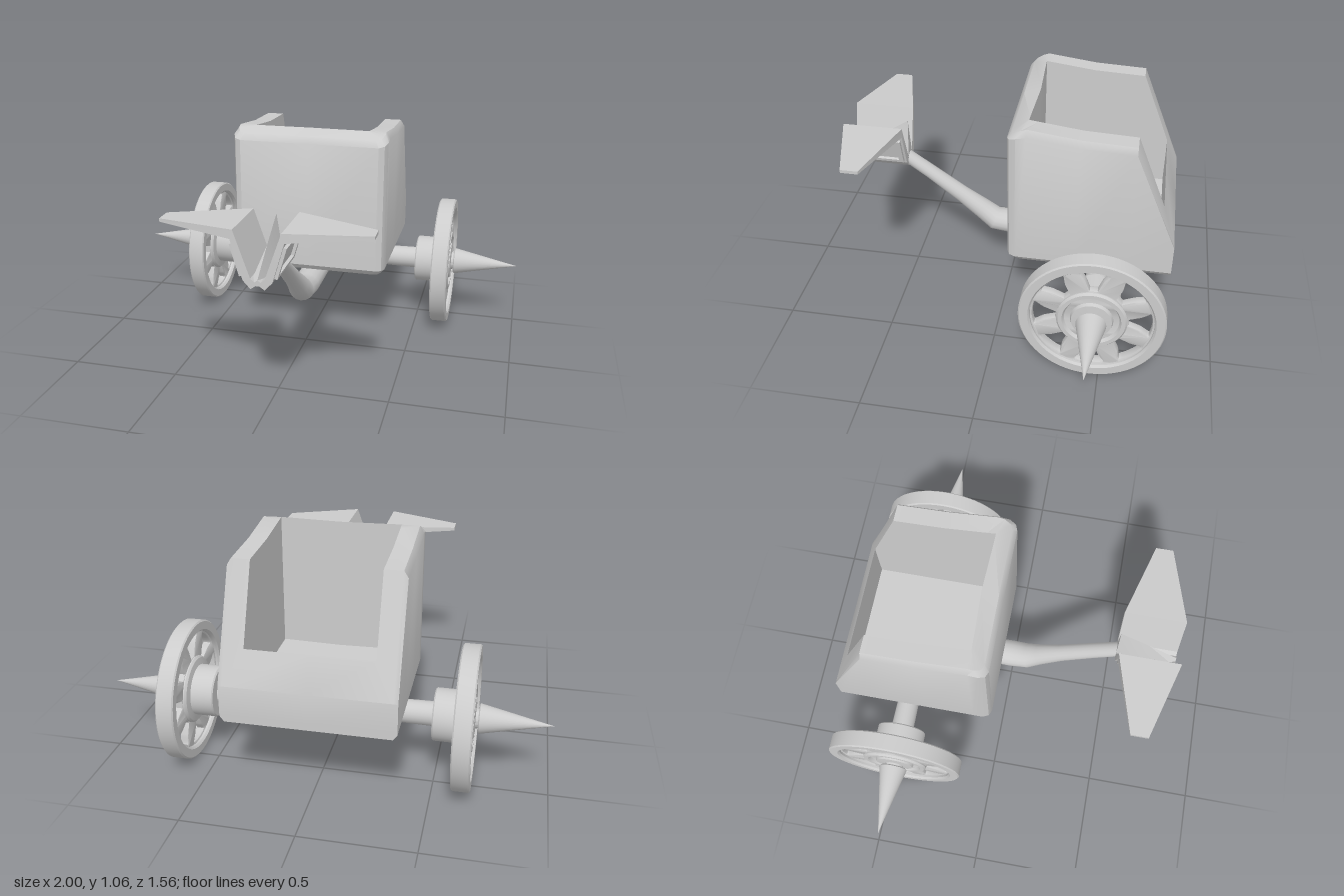
import * as THREE from 'three';
import { toCreasedNormals } from 'three/addons/utils/BufferGeometryUtils.js';

const material = new THREE.MeshStandardMaterial({ color: 0xcccccc });

function part(name, geometry, crease = 0.6) {
  const mesh = new THREE.Mesh(toCreasedNormals(geometry, crease), material);
  mesh.name = name;
  return mesh;
}

// Skin over equal-length rings of [x, y, z], closed at both ends.
function loft(rings) {
  const n = rings[0].length, last = (rings.length - 1) * n, index = [];
  for (let j = 0; j < rings.length - 1; j++) {
    for (let i = 0; i < n; i++) {
      const k = (i + 1) % n, a = j * n + i, b = j * n + k;
      index.push(a, b, b + n, a, b + n, a + n);
    }
  }
  for (let i = 1; i < n - 1; i++) {
    index.push(0, i + 1, i, last, last + i, last + i + 1);
  }
  const g = new THREE.BufferGeometry();
  g.setAttribute('position', new THREE.Float32BufferAttribute(rings.flat(2), 3));
  g.setIndex(index);
  g.computeVertexNormals();
  return g;
}

// Turned part along x from [radius, x] pairs.
function turned(profile, segments = 48) {
  const points = profile.map(([r, x]) => new THREE.Vector2(r, x));
  return new THREE.LatheGeometry(points, segments).rotateZ(-Math.PI / 2);
}

// Height of the car's rim at depth z: curved top, then a straight slope to the back.
function rimHeight(z) {
  const stops = [[-0.78, 0.53], [-0.585, 1.02], [-0.35, 1.03], [-0.11, 1.06], [-0.06, 1.045], [-0.035, 1.03]];
  for (let i = 1; i < stops.length; i++) {
    const [z0, y0] = stops[i - 1], [z1, y1] = stops[i];
    if (z <= z1) return y0 + (y1 - y0) * (z - z0) / (z1 - z0);
  }
  return 1.03;
}

// Car: open box with thick walls, a cut-back rear and a sunken floor.
function createCar() {
  const outer = [[0, -0.035], [0.335, -0.035], [0.362, -0.046], [0.375, -0.075], [0.375, -0.12],
    [0.375, -0.35], [0.375, -0.585], [0.375, -0.78], [0, -0.78]];
  const inner = [[0, -0.13], [0.25, -0.12], [0.265, -0.12], [0.275, -0.12], [0.275, -0.16],
    [0.275, -0.35], [0.275, -0.585], [0.275, -0.72], [0, -0.72]];
  const ring = (half, height, sx = 1, dz = 0) => {
    const right = half.map(([x, z]) => [x * sx, height(z), z > -0.1 ? z - dz : z]);
    const left = right.slice(1, -1).reverse().map(([x, y, z]) => [-x, y, z]);
    return [...right, ...left];
  };
  return part('car', loft([
    ring(outer, () => 0.365, 0.95, 0.018),
    ring(outer, () => 0.39),
    ring(outer, z => rimHeight(z) - (z > -0.7 ? 0.03 : 0)),
    ring(outer, rimHeight, 0.95, 0.02),
    ring(inner, rimHeight),
    ring(inner, () => 0.45)
  ]));
}

// Draught pole: oval sections running under the car, then bending up to the yoke.
function createPole() {
  const sections = [ // z, y, half width, half height, tilt
    [-0.5, 0.305, 0.06, 0.055, 0], [0, 0.305, 0.066, 0.056, 0], [0.085, 0.312, 0.062, 0.055, 0.38],
    [0.15, 0.365, 0.05, 0.05, 0.7], [0.25, 0.44, 0.04, 0.04, 0.7], [0.4, 0.553, 0.037, 0.032, 0.7],
    [0.53, 0.645, 0.035, 0.03, 0.6]
  ];
  return part('pole', loft(sections.map(([z, y, w, h, tilt]) =>
    Array.from({ length: 16 }, (_, i) => {
      const a = i / 16 * Math.PI * 2, s = Math.sin(a) * h;
      return [Math.cos(a) * w, y + s * Math.cos(tilt), z - s * Math.sin(tilt)];
    }))), 0.8);
}

// Yoke: V-shaped walls spreading into two tapered wings, with a sloping centre rib.
function createYoke() {
  const yoke = new THREE.Group();
  yoke.name = 'yoke';
  const section = ([ox, oy], [ix, iy], z0, z1) => [[ox, oy, z0], [ix, iy, z0], [ix, iy, z1], [ox, oy, z1]];
  const wing = loft([
    section([0.03, 0.6], [0, 0.62], 0.5, 0.78),
    section([0.062, 0.635], [0.03, 0.645], 0.5, 0.78),
    section([0.112, 0.805], [0.1, 0.845], 0.5, 0.78),
    section([0.45, 0.815], [0.45, 0.83], 0.6, 0.68)
  ]);
  // Raised rectangular frame on the outer face of each wall
  const border = new THREE.Shape([[-0.13, -0.07], [0.13, -0.07], [0.13, 0.07], [-0.13, 0.07]]
    .map(p => new THREE.Vector2(...p)));
  border.holes.push(new THREE.Path([[-0.108, -0.055], [-0.108, 0.055], [0.108, 0.055], [0.108, -0.055]]
    .map(p => new THREE.Vector2(...p))));
  const frame = new THREE.ExtrudeGeometry(border, { depth: 0.014, bevelEnabled: false })
    .rotateY(Math.PI / 2).rotateZ(-0.286).translate(0.086, 0.717, 0.64);
  for (const side of [1, -1]) {
    const half = new THREE.Group();
    half.name = side > 0 ? 'leftWing' : 'rightWing';
    half.add(part('wing', wing, 0.3), part('wingFrame', frame, 0.3));
    half.scale.x = side;
    yoke.add(half);
  }
  const rib = (z, top) => [[-0.034, 0.615, z], [0.034, 0.615, z], [0, top, z]];
  yoke.add(part('centreRib', loft([rib(0.5, 0.83), rib(0.64, 0.74), rib(0.78, 0.64)]), 0.3));
  return yoke;
}

// Spoked web: a disc pierced by eight rounded openings.
function createSpokes() {
  const disc = new THREE.Shape().absarc(0, 0, 0.285, 0, Math.PI * 2);
  for (let i = 0; i < 8; i++) {
    const turn = i * Math.PI / 4;
    const at = (r, w) => [r * Math.cos(turn) - w * Math.sin(turn), r * Math.sin(turn) + w * Math.cos(turn)];
    const hole = new THREE.Path();
    hole.moveTo(...at(0.15, -0.022));
    hole.lineTo(...at(0.15, 0.022));
    hole.lineTo(...at(0.205, 0.043));
    hole.bezierCurveTo(...at(0.235, 0.06), ...at(0.25, 0.085), ...at(0.258, 0.06));
    hole.quadraticCurveTo(...at(0.274, 0), ...at(0.258, -0.06));
    hole.bezierCurveTo(...at(0.25, -0.085), ...at(0.235, -0.06), ...at(0.205, -0.043));
    hole.closePath();
    disc.holes.push(hole);
  }
  return new THREE.ExtrudeGeometry(disc, {
    depth: 0.02, bevelThickness: 0.01, bevelSize: 0.008, bevelSegments: 2, curveSegments: 12
  }).rotateY(Math.PI / 2).translate(0.62, 0, 0);
}

export function createModel() {
  const model = new THREE.Group();
  model.name = 'chariot';
  model.add(createCar(), createPole(), createYoke());

  // Running gear, centred on the axle line
  const gear = new THREE.Group();
  gear.name = 'runningGear';
  gear.position.set(0, 0.32, -0.456);
  gear.add(part('axle', turned([[0.055, -0.55], [0.053, -0.4], [0.047, -0.15], [0.047, 0.15], [0.053, 0.4], [0.055, 0.55]], 24)));
  const block = part('axleBlock', new THREE.BoxGeometry(0.14, 0.13, 0.14));
  block.position.y = -0.005;
  gear.add(block);

  const spokes = createSpokes();
  const rim = turned([[0.268, 0.6], [0.276, 0.59], [0.313, 0.59], [0.319, 0.596], [0.319, 0.664],
    [0.313, 0.67], [0.276, 0.67], [0.268, 0.66], [0.268, 0.6]], 64);
  const hub = turned([[0, 0.488], [0.11, 0.488], [0.116, 0.494], [0.116, 0.59], [0.146, 0.596], [0.154, 0.605],
    [0.154, 0.655], [0.146, 0.664], [0.128, 0.664], [0.116, 0.645], [0.095, 0.645], [0.088, 0.665],
    [0.045, 0.668], [0.04, 0.69]]);
  const spike = turned([[0, 0.68], [0.06, 0.68], [0.066, 0.685], [0, 1]], 32);
  for (const side of [1, -1]) {
    const wheel = new THREE.Group();
    wheel.name = side > 0 ? 'leftWheel' : 'rightWheel';
    wheel.add(part('rim', rim), part('spokes', spokes), part('hub', hub), part('spike', spike));
    wheel.scale.x = side;
    gear.add(wheel);
  }
  model.add(gear);
  return model;
}
